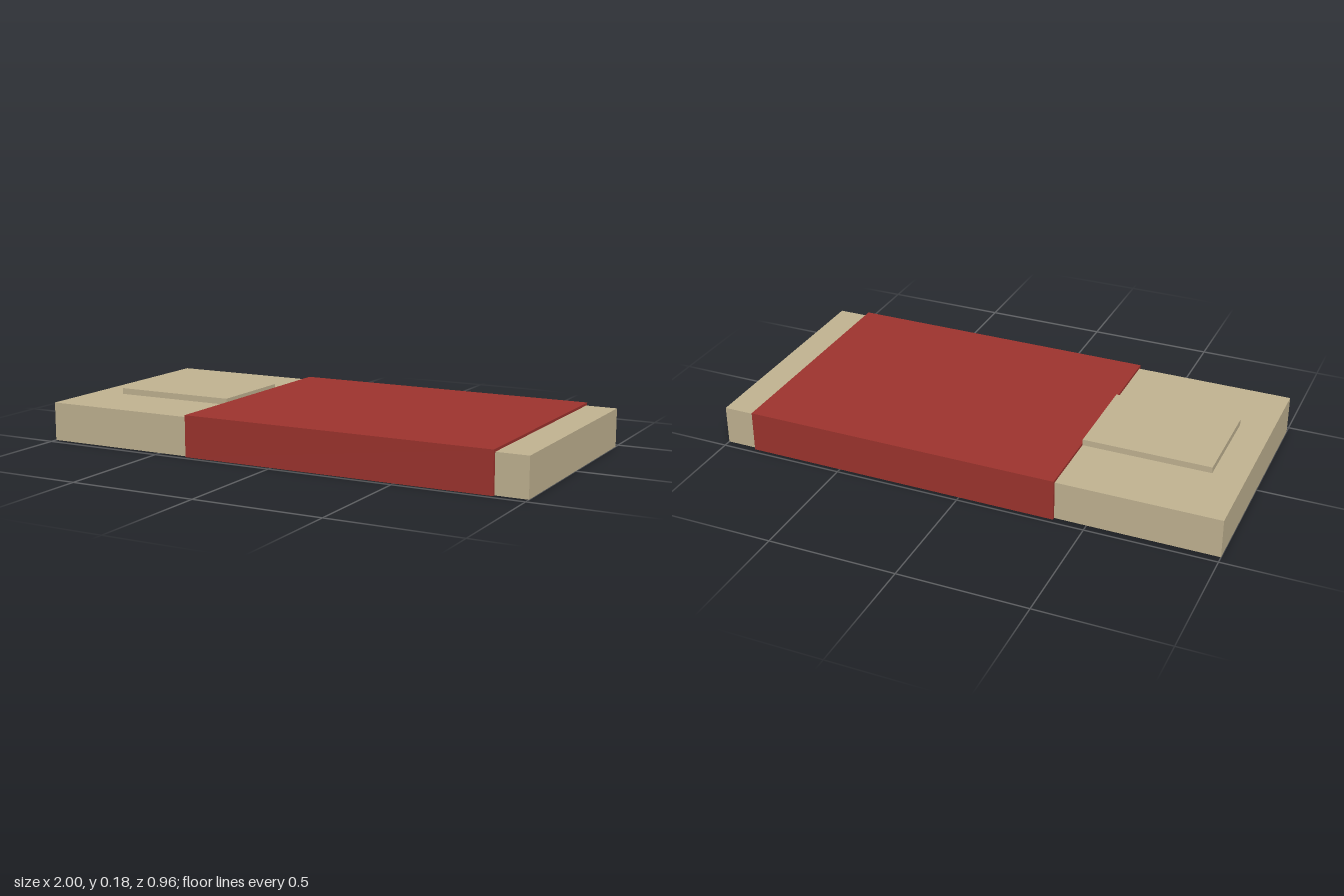
import * as THREE from 'three';

export function createModel() {
  const model = new THREE.Group();
  model.name = 'bed';

  const linen = new THREE.MeshStandardMaterial({ color: 0xc2b492 });
  linen.name = 'beige linen';
  const wool = new THREE.MeshStandardMaterial({ color: 0x9e342e });
  wool.name = 'red wool';

  // Box given by its extents; centred on z
  function slab(name, x0, x1, y0, y1, depth, material) {
    const mesh = new THREE.Mesh(new THREE.BoxGeometry(x1 - x0, y1 - y0, depth), material);
    mesh.name = name;
    mesh.position.set((x0 + x1) / 2, (y0 + y1) / 2, 0);
    model.add(mesh);
  }

  slab('mattress', -1, 1, 0, 0.152, 0.938, linen);
  slab('pillow', -0.875, -0.375, 0.15, 0.176, 0.375, linen);

  // Blanket: a U-shaped sheet draped over the top and both long sides
  const outer = 0.481, inner = 0.469, top = 0.162, under = 0.152;
  const profile = new THREE.Shape([
    [-outer, 0], [-inner, 0], [-inner, under], [inner, under],
    [inner, 0], [outer, 0], [outer, top], [-outer, top],
  ].map(([z, y]) => new THREE.Vector2(z, y)));
  const drape = new THREE.ExtrudeGeometry(profile, { depth: 1.25, bevelEnabled: false });
  drape.rotateY(Math.PI / 2);
  const blanket = new THREE.Mesh(drape, wool);
  blanket.name = 'blanket';
  blanket.position.x = -0.375;
  model.add(blanket);

  return model;
}
